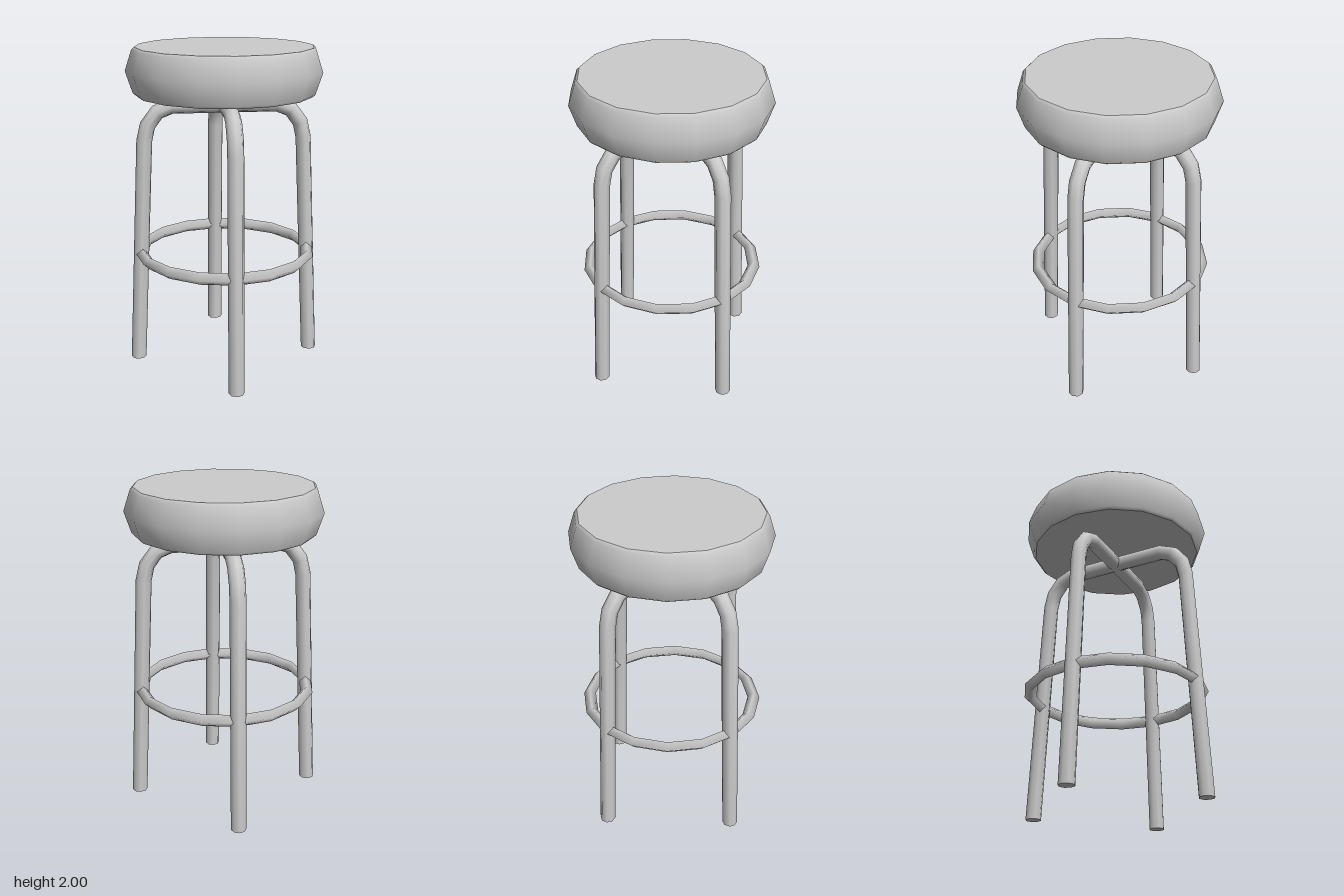
import * as THREE from 'three';

const material = new THREE.MeshStandardMaterial({ color: 0xcccccc });

// Curve that steps exactly through its points, keeping the bends faceted
class BentPath extends THREE.Curve {
  constructor(points) {
    super();
    this.points = points;
  }
  getPoint(t, target = new THREE.Vector3()) {
    return target.copy(this.points[Math.round(t * (this.points.length - 1))]);
  }
  getPointAt(u, target) {
    return this.getPoint(u, target);
  }
  getTangentAt(u, target = new THREE.Vector3()) {
    const p = this.points, last = p.length - 1, i = Math.round(u * last);
    // feet are cut level with the floor
    if (i === 0) return target.set(0, 1, 0);
    if (i === last) return target.set(0, -1, 0);
    const before = p[i].clone().sub(p[i - 1]).normalize();
    return target.copy(p[i + 1]).sub(p[i]).normalize().add(before).normalize();
  }
}

function addMesh(parent, name, geometry) {
  const mesh = new THREE.Mesh(geometry, material);
  mesh.name = name;
  parent.add(mesh);
  return mesh;
}

function lathe(points) {
  return new THREE.LatheGeometry(points.map(([r, y]) => new THREE.Vector2(r, y)), 16);
}

// One bent tube forming two opposite legs
function createLegPair(name) {
  const pair = new THREE.Group();
  pair.name = name;
  const half = [[0.565, 0], [0.492, 1.435], [0.47, 1.53], [0.41, 1.61], [0.325, 1.645]];
  const points = [
    ...half.map(([x, y]) => new THREE.Vector3(-x, y, 0)),
    ...half.reverse().map(([x, y]) => new THREE.Vector3(x, y, 0)),
  ];
  addMesh(pair, 'legTube', new THREE.TubeGeometry(new BentPath(points), points.length - 1, 0.048, 8));
  for (const side of [-1, 1]) {
    const foot = addMesh(pair, 'footCap', new THREE.CircleGeometry(0.048, 8));
    foot.rotation.x = Math.PI / 2;
    foot.position.x = side * 0.565;
  }
  return pair;
}

export function createModel() {
  const stool = new THREE.Group();
  stool.name = 'stool';

  // Padded seat: smooth bulging side with flat top and underside
  const seat = new THREE.Group();
  seat.name = 'seat';
  addMesh(seat, 'seatSide', lathe([
    [0.537, 1.715], [0.553, 1.73], [0.595, 1.86], [0.553, 1.985], [0.537, 2],
  ]));
  addMesh(seat, 'seatTop', lathe([[0.537, 2], [0, 2]]));
  addMesh(seat, 'seatUnderside', lathe([[0, 1.715], [0.537, 1.715]]));
  stool.add(seat);

  // Two leg pairs crossing under the seat
  const sideLegs = createLegPair('sideLegs');
  const frontBackLegs = createLegPair('frontBackLegs');
  frontBackLegs.rotation.y = Math.PI / 2;
  stool.add(sideLegs, frontBackLegs);

  // Foot ring with a diamond section
  const ring = addMesh(stool, 'footRing', new THREE.TorusGeometry(0.53, 0.038, 4, 16));
  ring.rotation.x = Math.PI / 2;
  ring.position.y = 0.718;

  return stool;
}
